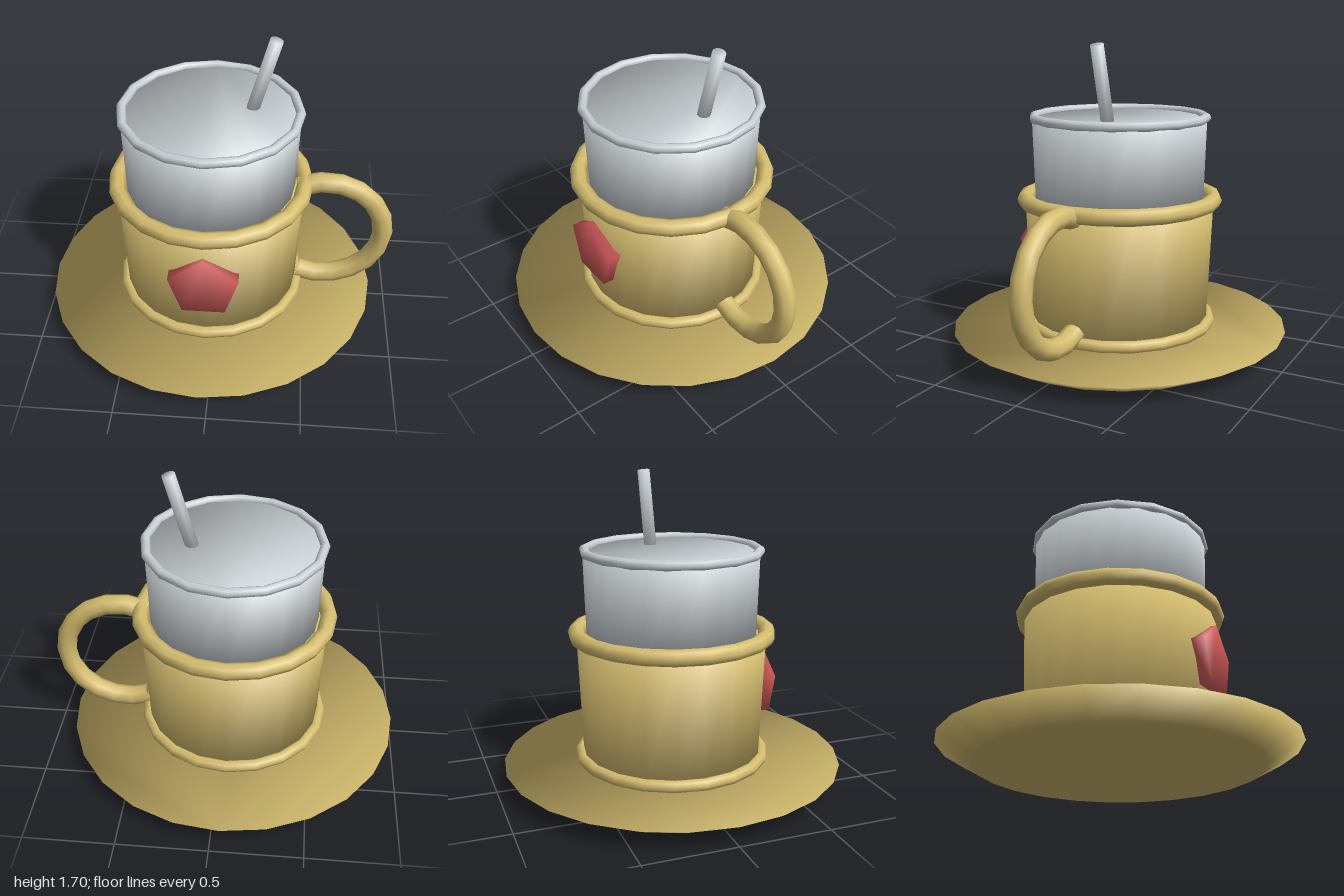
import * as THREE from 'three';

const gold = new THREE.MeshStandardMaterial({ name: 'gold', color: 0xd6be70 });
const silver = new THREE.MeshStandardMaterial({ name: 'silver', color: 0xcad0d4 });
const red = new THREE.MeshStandardMaterial({ name: 'red', color: 0xd25a5a });

// Closed frustum standing on y = 0, with soft normals shared by wall and caps.
function softFrustum(rBottom, rTop, height, sides) {
  const wall = new THREE.Vector2(height, rBottom - rTop).normalize();
  const positions = [], normals = [], index = [];
  for (const [r, y, cap] of [[rBottom, 0, -1], [rTop, height, 1]]) {
    const n = new THREE.Vector2(wall.x, wall.y + cap).normalize();
    for (let i = 0; i < sides; i++) {
      const a = Math.PI + (i / sides) * Math.PI * 2;
      const s = Math.sin(a), c = Math.cos(a);
      positions.push(r * s, y, r * c);
      normals.push(n.x * s, n.y, n.x * c);
    }
  }
  for (let i = 0; i < sides; i++) {
    const j = (i + 1) % sides;
    index.push(i, j, sides + j, i, sides + j, sides + i);
    if (i > 0 && j > 0) index.push(sides, sides + i, sides + j, 0, j, i);
  }
  const geometry = new THREE.BufferGeometry();
  geometry.setAttribute('position', new THREE.Float32BufferAttribute(positions, 3));
  geometry.setAttribute('normal', new THREE.Float32BufferAttribute(normals, 3));
  geometry.setIndex(index);
  return geometry;
}

export function createModel() {
  const model = new THREE.Group();
  model.name = 'cupOnSaucer';

  // The cup's axis sits left of centre to leave room for the handle.
  const axisX = -0.05;

  function add(name, geometry, material, x, y, z = 0) {
    const mesh = new THREE.Mesh(geometry, material);
    mesh.name = name;
    mesh.position.set(x, y, z);
    model.add(mesh);
    return mesh;
  }

  function addRing(name, radius, tube, sides, y, material) {
    const geometry = new THREE.TorusGeometry(radius, tube, 8, sides).rotateX(-Math.PI / 2);
    add(name, geometry, material, axisX, y);
  }

  // Saucer and outer cup
  add('saucer', softFrustum(0.76, 0.95, 0.105, 24), gold, axisX, 0);
  add('cupBody', softFrustum(0.5, 0.53, 0.73, 20), gold, axisX, 0.1);
  addRing('cupFoot', 0.515, 0.034, 20, 0.135, gold);
  addRing('cupRim', 0.53, 0.046, 20, 0.835, gold);

  // Inner cup with its rim
  add('innerCup', softFrustum(0.472, 0.486, 0.49, 20), silver, axisX, 0.8);
  addRing('innerRim', 0.48, 0.026, 16, 1.29, silver);

  // Handle: an open ring whose ends sink into the cup
  const arc = THREE.MathUtils.degToRad(230);
  const handle = new THREE.TorusGeometry(0.342, 0.058, 8, 12, arc).rotateZ(-arc / 2);
  add('handle', handle, gold, 0.6, 0.503);

  // Leaning straw
  const foot = new THREE.Vector3(0.15, 1.2, -0.047);
  const tip = new THREE.Vector3(0.285, 1.695, -0.047);
  const lean = tip.clone().sub(foot);
  const straw = add('straw', softFrustum(0.036, 0.036, lean.length(), 10), silver, foot.x, foot.y, foot.z);
  straw.quaternion.setFromUnitVectors(new THREE.Vector3(0, 1, 0), lean.normalize());

  // Five-sided badge on the front
  const badge = softFrustum(0.2, 0.2, 0.08, 5).rotateX(Math.PI / 2);
  add('badge', badge, red, axisX, 0.505, 0.475);

  return model;
}
